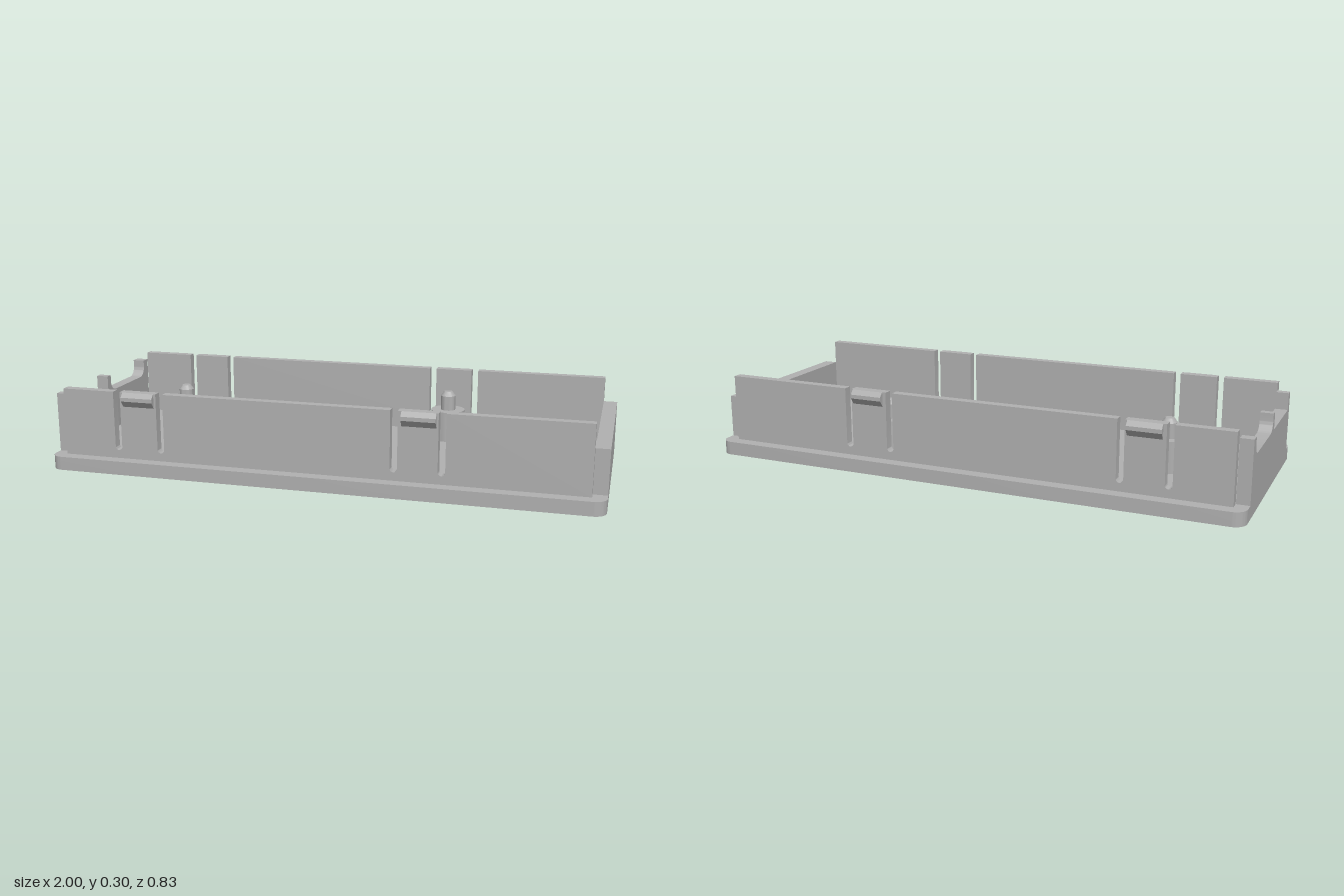
import * as THREE from 'three';
import { toCreasedNormals } from 'three/addons/utils/BufferGeometryUtils.js';

const BASE = 0.05;

export function createModel() {
  const group = new THREE.Group();
  const plastic = new THREE.MeshStandardMaterial({ color: 0xb0b0b0 });
  plastic.name = 'grey plastic';

  const add = (name, geometry, x = 0, y = 0, z = 0) => {
    const mesh = new THREE.Mesh(geometry, plastic);
    mesh.name = name;
    mesh.position.set(x, y, z);
    group.add(mesh);
    return mesh;
  };
  const extrude = (shape, depth) => toCreasedNormals(
    new THREE.ExtrudeGeometry(shape, { depth, bevelEnabled: false, curveSegments: 10 }), 0.6);

  // Base plate with rounded corners
  const plate = new THREE.Shape();
  const w = 1, d = 0.415, r = 0.045;
  plate.absarc(w - r, d - r, r, 0, Math.PI / 2);
  plate.absarc(-w + r, d - r, r, Math.PI / 2, Math.PI);
  plate.absarc(-w + r, -d + r, r, Math.PI, Math.PI * 1.5);
  plate.absarc(w - r, -d + r, r, Math.PI * 1.5, Math.PI * 2);
  plate.closePath();
  add('basePlate', extrude(plate, BASE).rotateX(-Math.PI / 2));

  // Long walls, cut by round-bottomed slots that free the clip tabs
  const slots = [[0.438, 0.464], [0.272, 0.298], [-0.588, -0.562], [-0.754, -0.728]];
  const wall = new THREE.Shape();
  wall.moveTo(-0.953, BASE);
  wall.lineTo(0.95, BASE);
  wall.lineTo(0.95, 0.298);
  for (const [a, b] of slots) {
    const radius = (b - a) / 2;
    wall.lineTo(b, 0.298);
    wall.lineTo(b, 0.08 + radius);
    wall.absarc((a + b) / 2, 0.08 + radius, radius, 0, Math.PI, true);
    wall.lineTo(a, 0.298);
  }
  wall.lineTo(-0.953, 0.298);
  wall.closePath();
  add('frontWall', extrude(wall, 0.033), 0, 0, 0.337);
  add('backWall', extrude(wall, 0.033), 0, 0, -0.37);

  // Snap clips: wedge profile (outward, up) extruded along x
  const wedge = new THREE.Shape([
    [0, 0.245], [0.017, 0.268], [0.017, 0.282], [0.002, 0.298], [0, 0.298],
  ].map(([a, b]) => new THREE.Vector2(a, b)));
  const clip = extrude(wedge, 0.12).rotateY(-Math.PI / 2).translate(0.06, 0, 0);
  for (const x of [-0.656, 0.371]) {
    add('frontClip', clip, x, 0, 0.37);
    add('backClip', clip, x, 0, -0.37).rotation.y = Math.PI;
  }

  // Plain low end wall, flush with the edge of the base
  add('rightEndWall', new THREE.BoxGeometry(0.05, 0.208, 0.674), 0.975, 0.104, 0);

  // Notched end wall: corner posts, centre post and a cutout with rounded corners
  const end = new THREE.Shape();
  const low = 0.207, high = 0.27, curve = 0.038;
  end.moveTo(-0.337, 0);
  end.lineTo(0.337, 0);
  end.lineTo(0.337, high);
  end.lineTo(0.308, high);
  end.lineTo(0.308, low);
  end.lineTo(0.026, low);
  end.lineTo(0.026, high);
  end.lineTo(0, high);
  end.lineTo(0, low + curve);
  end.absarc(-curve, low + curve, curve, 0, -Math.PI / 2, true);
  end.absarc(-0.3 + curve, low + curve, curve, -Math.PI / 2, -Math.PI, true);
  end.lineTo(-0.3, high);
  end.lineTo(-0.337, high);
  end.closePath();
  add('notchedEndWall', extrude(end, 0.046).rotateY(-Math.PI / 2), -0.954, 0, 0);

  // Standoffs with chamfered locating pins
  const profile = [[0.064, BASE], [0.064, 0.165], [0.028, 0.165], [0.028, 0.22],
    [0.016, 0.236], [0, 0.236]].map(([a, b]) => new THREE.Vector2(a, b));
  const standoff = toCreasedNormals(new THREE.LatheGeometry(profile, 40), 0.5);
  add('standoff', standoff, -0.657, 0, -0.065);
  add('standoff', standoff, 0.367, 0, -0.225);

  return group;
}
